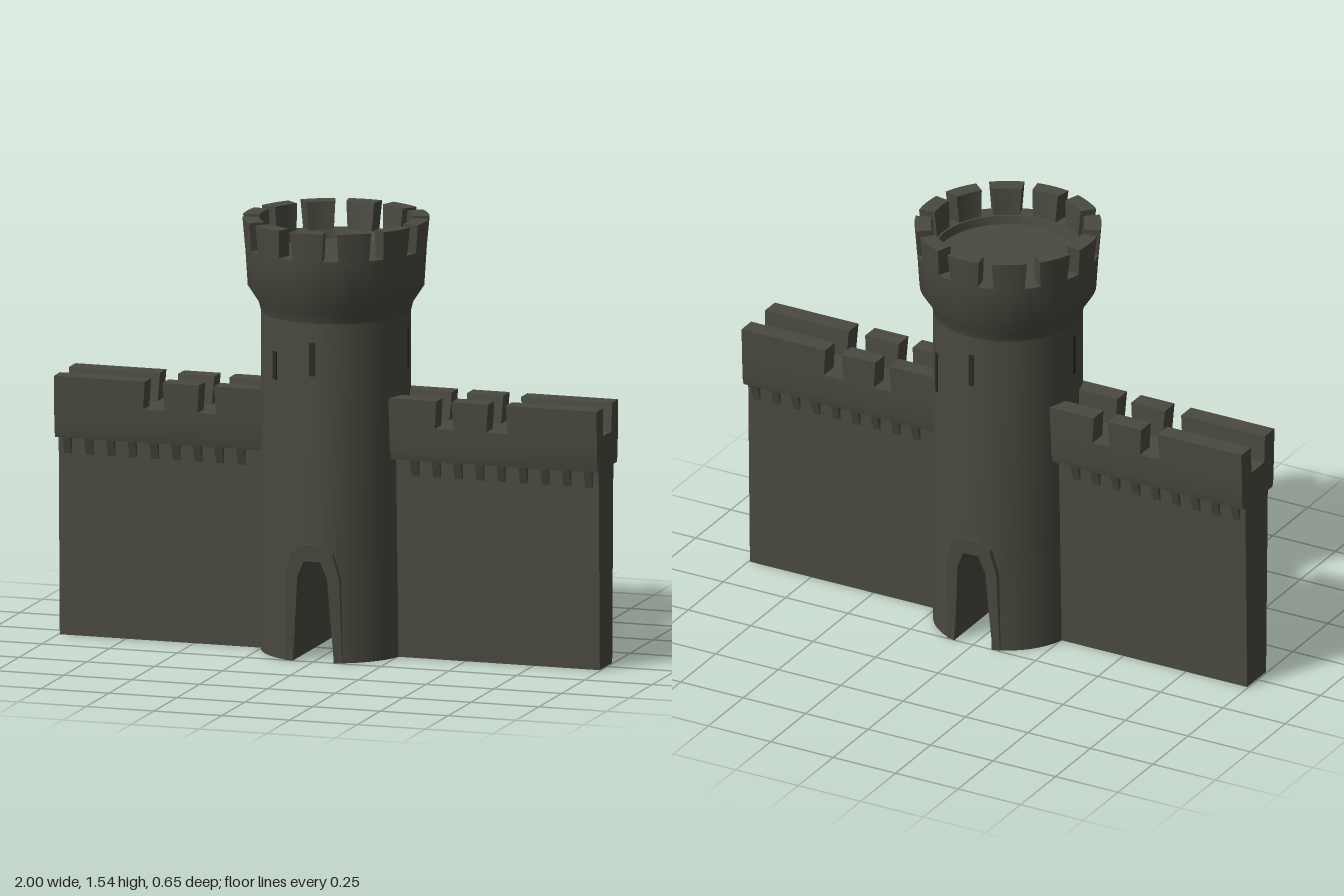
import * as THREE from 'three';
import { toCreasedNormals } from 'three/addons/utils/BufferGeometryUtils.js';

const stone = new THREE.MeshStandardMaterial({ color: 0x4a493f });
stone.name = 'dark stone';
const shadow = new THREE.MeshStandardMaterial({ color: 0x2b2a24 });
shadow.name = 'slit shadow';

function add(parent, name, geometry, material = stone) {
  const mesh = new THREE.Mesh(toCreasedNormals(geometry, 0.6), material);
  mesh.name = name;
  parent.add(mesh);
  return mesh;
}

// Extrude a plan shape upward from y0 to y1
function raise(shape, y0, y1) {
  const g = new THREE.ExtrudeGeometry(shape, { depth: y1 - y0, bevelEnabled: false, curveSegments: 24 });
  return g.rotateX(-Math.PI / 2).translate(0, y0, 0);
}

// Extrude a [z, y] section along x from x0 to x1
function sweep(points, x0, x1) {
  const shape = new THREE.Shape(points.map(([z, y]) => new THREE.Vector2(-z, y)));
  const g = new THREE.ExtrudeGeometry(shape, { depth: x1 - x0, bevelEnabled: false });
  return g.rotateY(Math.PI / 2).translate(x0, 0, 0);
}

function moveVertices(g, rule) {
  const p = g.attributes.position;
  const v = new THREE.Vector3();
  for (let i = 0; i < p.count; i++) {
    rule(v.fromBufferAttribute(p, i));
    p.setXYZ(i, v.x, v.y, v.z);
  }
  return g;
}

function archPath(path, w, spring, top) {
  path.moveTo(-w, 0);
  path.lineTo(w, 0);
  path.lineTo(w * 0.85, spring);
  path.quadraticCurveTo(w * 0.75, top, 0, top);
  path.quadraticCurveTo(-w * 0.75, top, -w * 0.85, spring);
  path.closePath();
  return path;
}

function buildTower() {
  const tower = new THREE.Group();
  tower.name = 'tower';
  const R = 0.262;

  // Two halves of the base, either side of the passage
  const a = Math.acos(0.075 / R);
  for (const turn of [0, Math.PI]) {
    const half = new THREE.Shape();
    half.absarc(0, 0, R, -a, a, false);
    half.closePath();
    add(tower, 'towerBase', raise(half, 0, 0.37)).rotation.y = turn;
  }

  // Round shaft above the passage
  add(tower, 'towerShaft', new THREE.CylinderGeometry(R, R, 0.87, 48).translate(0, 0.805, 0));

  // Gate surround running right through, leaning outward toward the top
  const frame = new THREE.Shape();
  const outer = [[0.075, 0], [0.105, 0], [0.1, 0.3], [0.075, 0.39], [0.035, 0.42]];
  const inner = [[0.03, 0.36], [0.055, 0.3]];
  frame.setFromPoints([
    ...outer, ...outer.map(([x, y]) => [-x, y]).reverse(),
    ...inner.map(([x, y]) => [-x, y]).reverse(), ...inner,
  ].map(([x, y]) => new THREE.Vector2(x, y)));
  const gate = new THREE.ExtrudeGeometry(frame, { depth: 0.54, bevelEnabled: false }).translate(0, 0, -0.27);
  add(tower, 'gateSurround', moveVertices(gate, (v) => { v.z *= 0.91 + 0.21 * v.y; }));

  // Flared parapet with a sunken roof floor
  const profile = [[0.26, 1.2], [0.27, 1.24], [0.309, 1.3], [0.318, 1.44], [0.255, 1.44], [0.25, 1.41], [0, 1.4]];
  add(tower, 'towerParapet', new THREE.LatheGeometry(profile.map(([x, y]) => new THREE.Vector2(x, y)), 48));

  // Ring of merlons
  for (let i = 0; i < 12; i++) {
    const w = THREE.MathUtils.degToRad(10.5);
    const sector = new THREE.Shape();
    sector.absarc(0, 0, 0.318, -w, w, false);
    sector.absarc(0, 0, 0.262, w, -w, true);
    sector.closePath();
    const g = moveVertices(raise(sector, 1.43, 1.54), (v) => {
      const k = 1 + (v.y - 1.43) * 0.25;
      v.x *= k;
      v.z *= k * (0.92 + (v.y - 1.43) * 1.1);
    });
    add(tower, 'towerMerlon', g).rotation.y = i * Math.PI / 6;
  }

  // Arrow slits
  for (const [angle, y, h] of [[0, 1.08, 0.12], [-0.62, 1.04, 0.1], [Math.PI / 2, 1.09, 0.15],
    [2.4, 1.0, 0.15], [Math.PI, 1.08, 0.12], [-Math.PI / 2, 1.09, 0.15]]) {
    const slit = new THREE.BoxGeometry(0.02, h, 0.006);
    add(tower, 'arrowSlit', slit.translate(0, y, R + 0.001), shadow).rotation.y = angle;
  }
  return tower;
}

function buildWall() {
  const wall = new THREE.Group();
  wall.name = 'wall';

  // Curtain wall, slightly thicker toward the top
  add(wall, 'curtainWall', sweep([[-0.068, 0], [0.068, 0], [0.08, 0.7], [0.08, 0.74], [-0.08, 0.74], [-0.08, 0.7]], 0.22, 0.995));

  // Overhanging parapet carrying the walkway
  add(wall, 'wallParapet', sweep([[-0.105, 0.71], [0.105, 0.71], [0.112, 0.74], [0.115, 0.83], [-0.115, 0.83], [-0.112, 0.74]], 0.22, 1));

  for (const side of [1, -1]) {
    // Merlons on both edges
    for (const [x0, x1] of [[0.22, 0.41], [0.465, 0.6], [0.665, 1]]) {
      const s = [[0.045, 0.82], [0.115, 0.82], [0.119, 0.93], [0.05, 0.93]];
      const pts = side > 0 ? s : s.map(([z, y]) => [-z, y]).reverse();
      const g = moveVertices(sweep(pts, x0, x1), (v) => {
        if (v.y < 0.9 && v.x < 0.99) v.x += v.x < (x0 + x1) / 2 ? 0.008 : -0.008;
      });
      add(wall, 'wallMerlon', g);
    }
    // Small corbels below the overhang
    for (let i = 0; i < 9; i++) {
      const x = 0.32 + i * 0.08;
      const s = [[0.07, 0.65], [0.082, 0.65], [0.103, 0.715], [0.07, 0.715]];
      const pts = side > 0 ? s : s.map(([z, y]) => [-z, y]).reverse();
      add(wall, 'corbel', sweep(pts, x - 0.014, x + 0.014));
    }
  }
  return wall;
}

export function createModel() {
  const model = new THREE.Group();
  model.name = 'castleGate';
  model.add(buildTower());
  for (const [name, turn] of [['leftWall', 0], ['rightWall', Math.PI]]) {
    const wall = buildWall();
    wall.name = name;
    wall.rotation.y = turn;
    model.add(wall);
  }
  return model;
}
